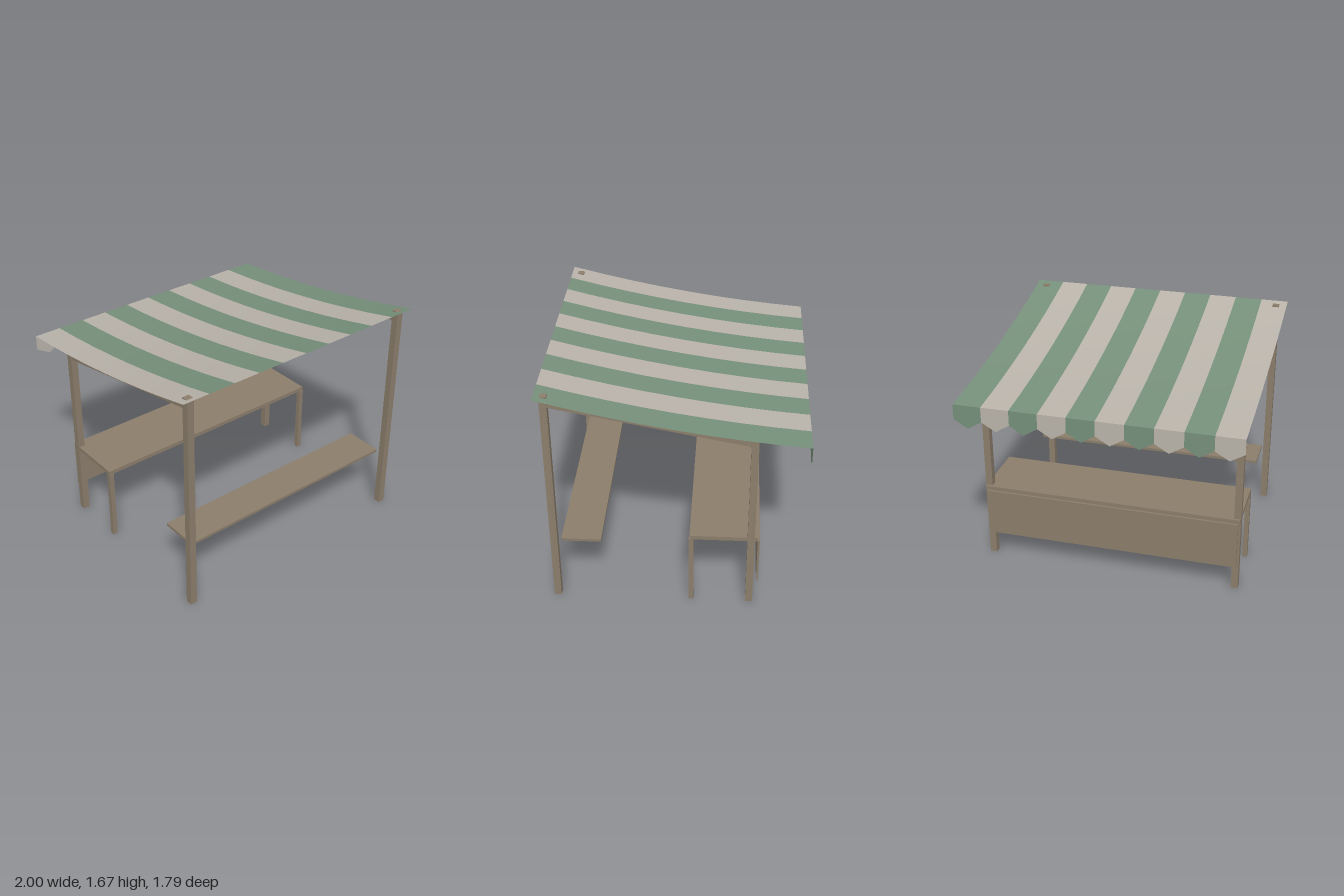
import * as THREE from 'three';

const wood = new THREE.MeshStandardMaterial({ color: 0x8b7d6b });
const cloth = [0xb9b3aa, 0x76907a].map(
  (color) => new THREE.MeshStandardMaterial({ color, side: THREE.DoubleSide })
);

export function createModel() {
  const model = new THREE.Group();

  const add = (name, geometry, material, x = 0, y = 0, z = 0) => {
    const mesh = new THREE.Mesh(geometry, material);
    mesh.name = name;
    mesh.position.set(x, y, z);
    model.add(mesh);
    return mesh;
  };
  // Box given by its extents in y and z, centred on x
  const board = (name, x, width, y0, y1, z0, z1) =>
    add(name, new THREE.BoxGeometry(width, y1 - y0, z1 - z0), wood, x, (y0 + y1) / 2, (z0 + z1) / 2);

  // Posts, sloping roof rails and table legs, mirrored
  for (const [side, s] of [['left', 1], ['right', -1]]) {
    board(side + 'FrontPost', s * 0.92, 0.05, 0, 1.66, 0.855, 0.905);
    board(side + 'BackPost', s * 0.92, 0.05, 0, 1.4, -0.51, -0.46);
    board(side + 'TableLeg', s * 0.924, 0.035, 0, 0.545, -0.09, -0.055);

    const rail = new THREE.Shape([
      new THREE.Vector2(-0.87, 1.583), new THREE.Vector2(0.475, 1.323),
      new THREE.Vector2(0.475, 1.373), new THREE.Vector2(-0.87, 1.633),
    ]);
    const railGeometry = new THREE.ExtrudeGeometry(rail, { depth: 0.04, bevelEnabled: false });
    railGeometry.translate(0, 0, -0.02).rotateY(Math.PI / 2);
    add(side + 'RoofRail', railGeometry, wood, s * 0.92);
  }

  // Counter and bench
  board('tableTop', 0, 1.88, 0.545, 0.575, -0.53, -0.06);
  board('counterPanel', 0, 1.86, 0.195, 0.545, -0.545, -0.53);
  board('bench', 0, 1.77, 0.45, 0.47, 0.56, 0.84);

  // Striped sagging canopy with a pointed valance along the low edge
  const zFront = 0.94, zBack = -0.85, yFront = 1.67, yBack = 1.37, sag = 0.04;
  const stripes = 10, w = 2 / stripes;
  const flap = new THREE.Shape([
    new THREE.Vector2(-w / 2, yBack), new THREE.Vector2(-w / 2, 1.26),
    new THREE.Vector2(0, 1.2),
    new THREE.Vector2(w / 2, 1.26), new THREE.Vector2(w / 2, yBack),
  ]);
  for (let i = 0; i < stripes; i++) {
    const x = -1 + w * (i + 0.5);
    const strip = new THREE.PlaneGeometry(w, 1, 1, 8).rotateX(-Math.PI / 2);
    const p = strip.attributes.position;
    for (let k = 0; k < p.count; k++) {
      const t = 0.5 - p.getZ(k);
      p.setY(k, THREE.MathUtils.lerp(yFront, yBack, t) - sag * 4 * t * (1 - t));
      p.setZ(k, THREE.MathUtils.lerp(zFront, zBack, t));
    }
    strip.computeVertexNormals();
    add('canopyStripe' + (i + 1), strip, cloth[i % 2], x);

    const flapGeometry = new THREE.ShapeGeometry(flap).rotateY(Math.PI);
    add('valanceFlap' + (i + 1), flapGeometry, cloth[i % 2], x, 0, zBack);
  }
  return model;
}
